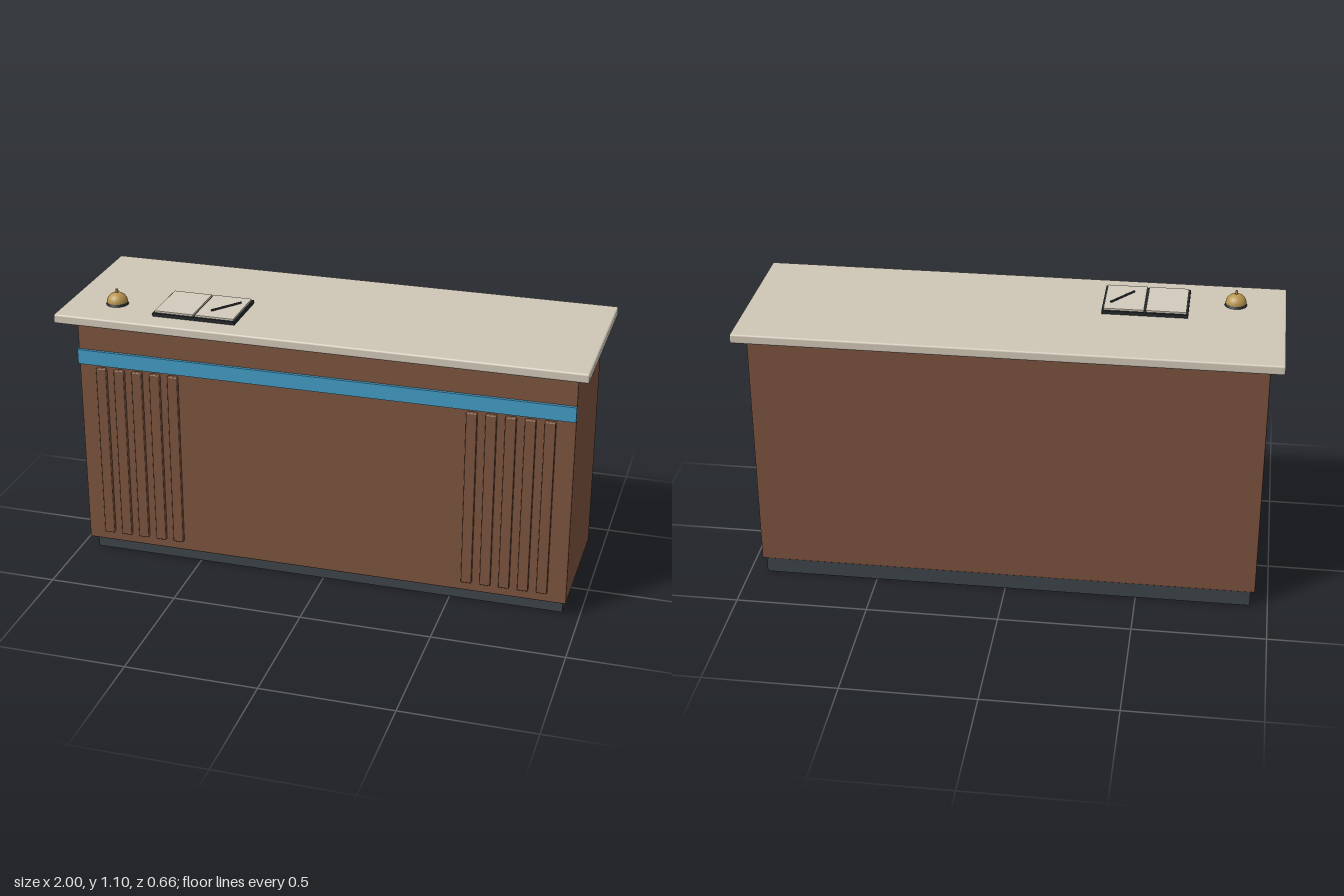
import * as THREE from 'three';
import { RoundedBoxGeometry } from 'three/addons/geometries/RoundedBoxGeometry.js';

export function createModel() {
  const model = new THREE.Group();
  model.name = 'receptionCounter';
  const material = (name, color) => {
    const m = new THREE.MeshStandardMaterial({ color });
    m.name = name;
    return m;
  };
  const wood = material('brown wood', 0x7a523d);
  const stone = material('beige stone', 0xcfc6b6);
  const plinthGrey = material('plinth grey', 0x3d434a);
  const blue = material('blue trim', 0x429ac4);
  const brass = material('brass', 0xb8954f);
  const black = material('near black', 0x24282c);
  const paper = material('paper', 0xd3cbbb);

  const add = (parent, name, geometry, mat, x = 0, y = 0, z = 0) => {
    const mesh = new THREE.Mesh(geometry, mat);
    mesh.name = name;
    mesh.position.set(x, y, z);
    parent.add(mesh);
    return mesh;
  };
  // Box given by its limits on each axis, with an optional softened edge
  const box = (parent, name, mat, [x0, x1], [y0, y1], [z0, z1], bevel = 0) => {
    const size = [x1 - x0, y1 - y0, z1 - z0];
    const geometry = bevel
      ? new RoundedBoxGeometry(...size, 2, bevel)
      : new THREE.BoxGeometry(...size);
    return add(parent, name, geometry, mat, (x0 + x1) / 2, (y0 + y1) / 2, (z0 + z1) / 2);
  };

  // Counter
  box(model, 'plinth', plinthGrey, [-0.933, 0.933], [0, 0.062], [-0.286, 0.192]);
  box(model, 'body', wood, [-0.95, 0.95], [0.06, 1.002], [-0.289, 0.234], 0.005);
  box(model, 'countertop', stone, [-1, 1], [1.002, 1.038], [-0.332, 0.332], 0.007);
  box(model, 'trimBand', blue, [-0.95, 0.95], [0.81, 0.868], [0.23, 0.246]);

  // Five vertical slats at each end of the front
  for (const side of [-1, 1]) {
    for (let i = 0; i < 5; i++) {
      const x = side * (0.573 + i * 0.0715);
      box(model, 'slat', wood, [x - 0.02, x + 0.02], [0.1, 0.8], [0.23, 0.25], 0.004);
    }
  }

  // Service bell
  const bell = new THREE.Group();
  bell.name = 'bell';
  bell.position.set(-0.812, 1.038, 0.163);
  model.add(bell);
  add(bell, 'bellBase', new THREE.CylinderGeometry(0.038, 0.042, 0.009, 24), black, 0, 0.0045, 0);
  const dome = add(bell, 'bellDome',
    new THREE.SphereGeometry(0.039, 24, 10, 0, Math.PI * 2, 0, Math.PI / 2), brass, 0, 0.009, 0);
  dome.scale.y = 0.93;
  add(bell, 'bellButton', new THREE.CylinderGeometry(0.005, 0.005, 0.014, 12), brass, 0, 0.051, 0);

  // Open guest book with a pen on its left page
  const book = new THREE.Group();
  book.name = 'guestBook';
  model.add(book);
  box(book, 'cover', black, [-0.64, -0.32], [1.038, 1.051], [0.02, 0.247]);
  for (const [x0, x1] of [[-0.633, -0.484], [-0.476, -0.327]]) {
    box(book, 'page', paper, [x0, x1], [1.05, 1.058], [0.027, 0.24]);
  }
  const pen = add(book, 'pen', new THREE.CylinderGeometry(0.004, 0.004, 0.132, 10), black,
    -0.39, 1.061, 0.133);
  pen.quaternion.setFromUnitVectors(
    new THREE.Vector3(0, 1, 0), new THREE.Vector3(0.08, 0, -0.105).normalize());

  return model;
}
